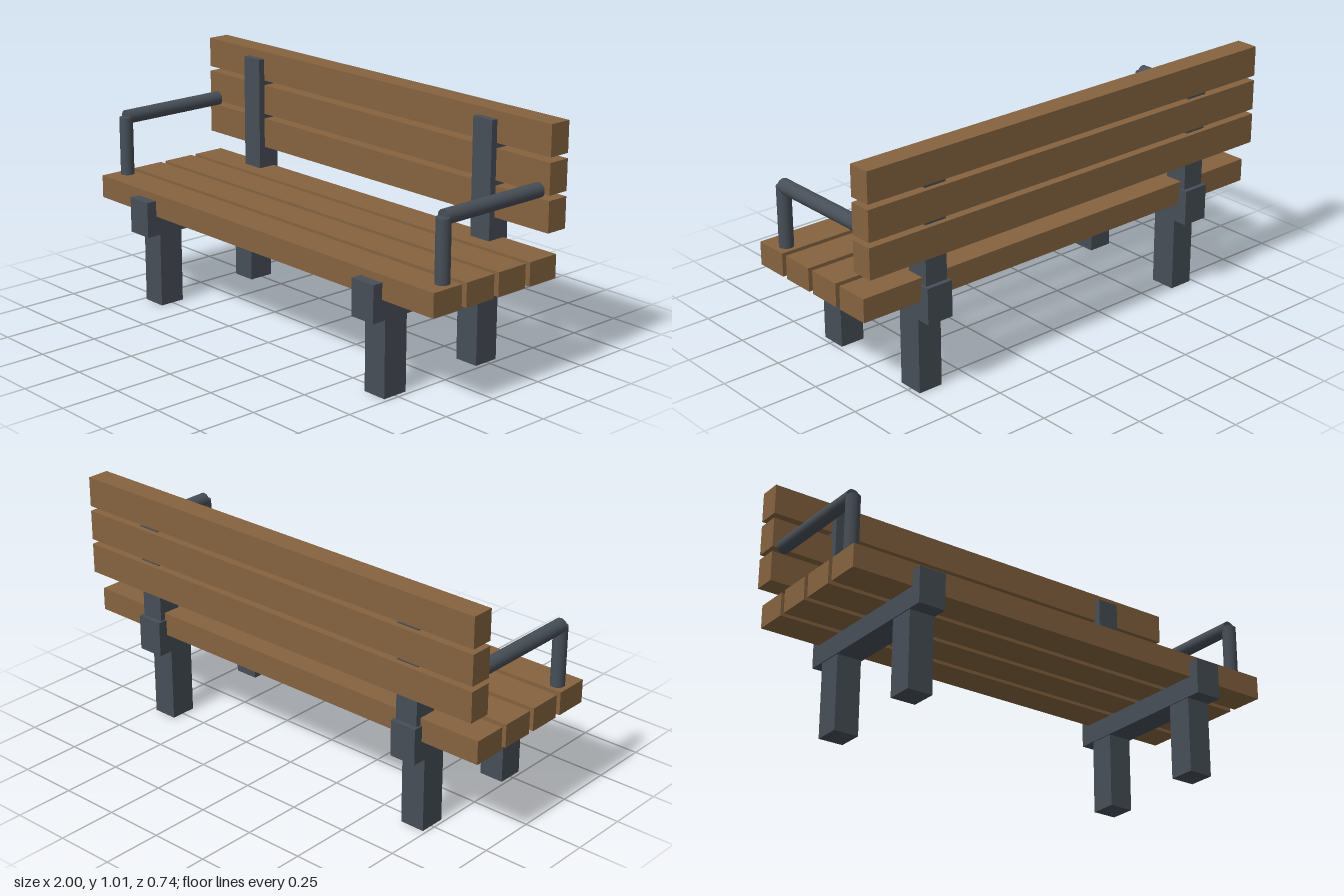
import * as THREE from 'three';

const wood = new THREE.MeshStandardMaterial({ color: 0x85633f });
const metal = new THREE.MeshStandardMaterial({ color: 0x474e57 });

// Box given by its x centre, width, and y and z ranges
function box(name, material, x, width, [y0, y1], [z0, z1]) {
  const mesh = new THREE.Mesh(new THREE.BoxGeometry(width, y1 - y0, z1 - z0), material);
  mesh.name = name;
  mesh.position.set(x, (y0 + y1) / 2, (z0 + z1) / 2);
  return mesh;
}

// Straight round bar between two points
function bar(name, from, to, radius) {
  const dir = to.clone().sub(from);
  const mesh = new THREE.Mesh(new THREE.CylinderGeometry(radius, radius, dir.length(), 32), metal);
  mesh.name = name;
  mesh.position.copy(from).add(to).multiplyScalar(0.5);
  mesh.quaternion.setFromUnitVectors(new THREE.Vector3(0, 1, 0), dir.normalize());
  return mesh;
}

export function createModel() {
  const bench = new THREE.Group();
  bench.name = 'bench';

  // Four seat planks
  for (let i = 0; i < 4; i++) {
    const z = 0.2545 - i * 0.1697;
    bench.add(box('seatSlat', wood, 0, 2, [0.401, 0.498], [z - 0.0725, z + 0.0725]));
  }

  // Three backrest planks
  for (let i = 0; i < 3; i++) {
    const y = 0.653 + i * 0.148;
    bench.add(box('backSlat', wood, 0, 2, [y - 0.0635, y + 0.0635], [-0.372, -0.276]));
  }

  // Two support frames: crossbeam, legs and back post
  for (const [side, x] of [['left', 0.678], ['right', -0.682]]) {
    const frame = new THREE.Group();
    frame.name = side + 'Frame';
    frame.add(
      box('crossbeam', metal, x, 0.116, [0.317, 0.468], [-0.368, 0.372]),
      box('frontLeg', metal, x, 0.107, [0, 0.33], [0.194, 0.306]),
      box('backLeg', metal, x, 0.107, [0, 0.33], [-0.302, -0.19]),
      box('backPost', metal, x, 0.099, [0.42, 0.979], [-0.349, -0.248]),
    );
    bench.add(frame);
  }

  // Two armrests: upright and horizontal rail
  for (const [side, x] of [['left', 0.946], ['right', -0.951]]) {
    const arm = new THREE.Group();
    arm.name = side + 'Armrest';
    const corner = new THREE.Vector3(x, 0.749, 0.229);
    arm.add(
      bar('armUpright', new THREE.Vector3(x, 0.47, 0.229), corner, 0.029),
      bar('armRail', new THREE.Vector3(x, 0.749, -0.278), corner, 0.03),
    );
    bench.add(arm);
  }

  return bench;
}
